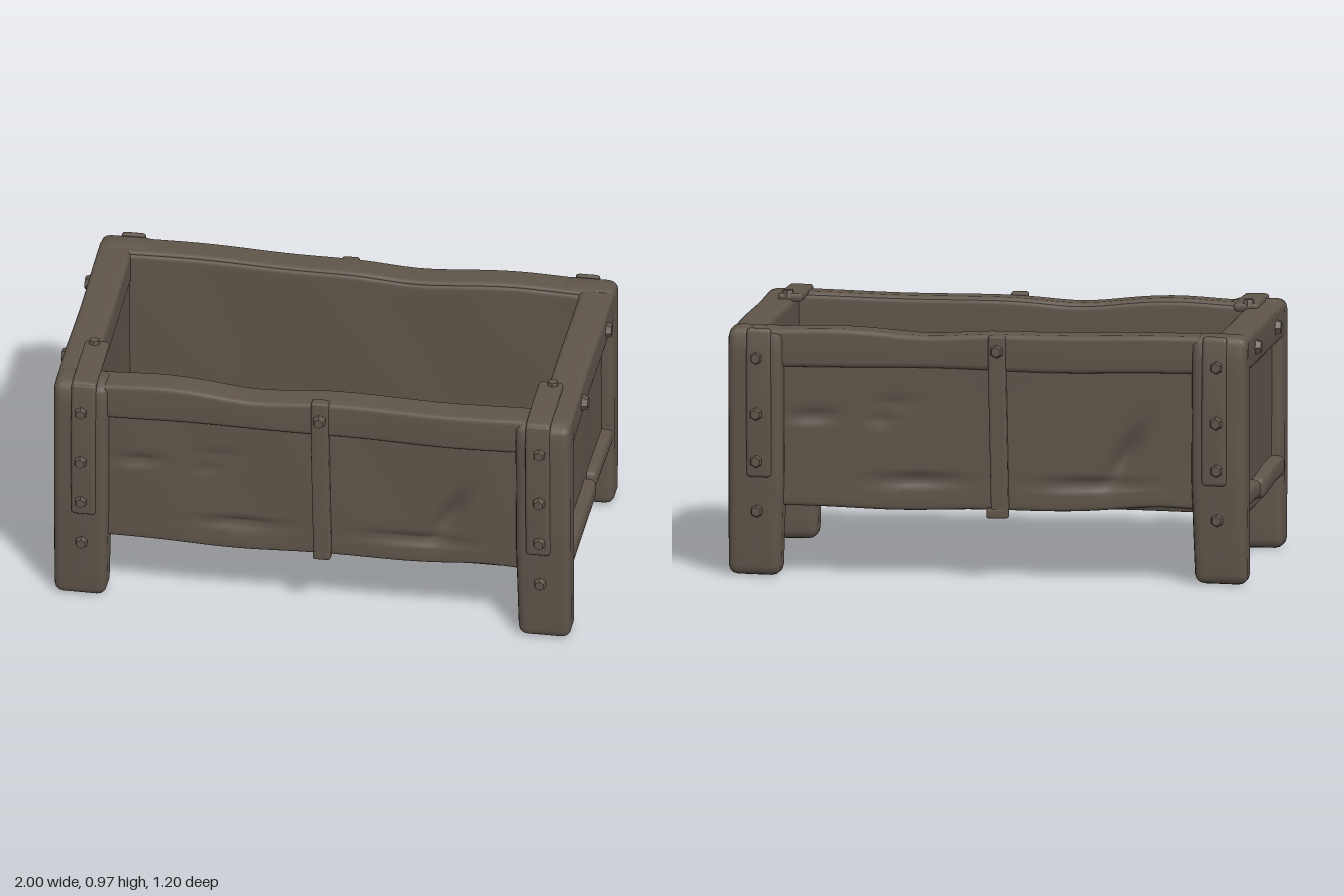
import * as THREE from 'three';
import { mergeVertices } from 'three/addons/utils/BufferGeometryUtils.js';

// Gouges in the long walls: x, y, radius x, radius y, depth, slant
const GOUGES = [
  [0.52, 0.48, 0.04, 0.1, 0.035, 0.5], [0.38, 0.37, 0.17, 0.014, 0.025, 0],
  [-0.27, 0.37, 0.14, 0.014, 0.025, 0], [-0.66, 0.61, 0.08, 0.015, 0.02, 0],
  [-0.4, 0.6, 0.05, 0.015, 0.015, 0], [-0.36, 0.66, 0.07, 0.02, 0.01, 0],
];

// Slow waves that bend the boards like worn timber
function wave(x, y, z, seed) {
  return Math.sin(x * 5.3 + seed) * 0.5 + Math.sin(x * 9.1 + y * 6 - seed * 2) * 0.25
    + Math.sin(z * 8.7 + y * 4 + seed * 1.7) * 0.35;
}

const bump = (x, centre, width) => Math.exp(-(((x - centre) / width) ** 2));

// Rounds the outer top corner (seen from the end) to radius r
function roundTop(p, s, zMax, yMax, r) {
  const u = p.z * s - (zMax - r), v = p.y - (yMax - r);
  if (u <= 0 || v <= 0) return;
  const k = Math.max(u, v) / Math.hypot(u, v);
  p.z = s * (zMax - r + u * k);
  p.y = yMax - r + v * k;
}

// Rounded, finely divided beam between two corners; bend(p) may reshape it
function beam([x0, y0, z0], [x1, y1, z1], { r = 0.015, amp = 0.006, seed = 1, step = 0.05, bend } = {}) {
  const size = [x1 - x0, y1 - y0, z1 - z0];
  const mid = [(x0 + x1) / 2, (y0 + y1) / 2, (z0 + z1) / 2];
  const segs = size.map((s) => Math.max(6, Math.round(s / step)));
  const geo = new THREE.BoxGeometry(...size, ...segs);
  geo.deleteAttribute('uv');
  geo.deleteAttribute('normal');
  const g = mergeVertices(geo, 1e-5);
  const pos = g.attributes.position;
  const rad = Math.min(r, ...size.map((s) => s * 0.4));
  const p = new THREE.Vector3(), inner = new THREE.Vector3();
  for (let i = 0; i < pos.count; i++) {
    p.fromBufferAttribute(pos, i);
    for (let a = 0; a < 3; a++) {
      // Crowd the outer two rows of the grid into the rounded edge
      const h = size[a] / 2, n = segs[a];
      const k = Math.round((p.getComponent(a) / size[a] + 0.5) * n);
      const d = Math.min(k, n - k);
      const c = d === 0 ? h : d === 1 ? h - rad * 0.45 : h - rad - (d - 2) * (2 * (h - rad)) / (n - 4);
      p.setComponent(a, k * 2 < n ? -c : c);
      inner.setComponent(a, THREE.MathUtils.clamp(p.getComponent(a), rad - h, h - rad));
    }
    p.sub(inner);
    if (p.length() > rad) p.setLength(rad);
    p.add(inner);
    p.x += mid[0]; p.y += mid[1]; p.z += mid[2];
    const { x, y, z } = p;
    p.x += amp * 0.6 * wave(z, y, x, seed + 1);
    p.y += amp * wave(x, 0, z, seed + 2);
    p.z += amp * wave(x, y, 0, seed + 3);
    if (bend) bend(p);
    pos.setXYZ(i, p.x, p.y, p.z);
  }
  g.computeVertexNormals();
  return g;
}

export function createModel() {
  const model = new THREE.Group();
  model.name = 'woodenTrough';
  const wood = new THREE.MeshStandardMaterial({ color: 0x5f554a });
  wood.name = 'weathered wood';

  const add = (name, geometry) => {
    const mesh = new THREE.Mesh(geometry, wood);
    mesh.name = name;
    model.add(mesh);
    return mesh;
  };

  // Faceted bolt head facing along a direction
  const boltGeo = new THREE.CylinderGeometry(0.022, 0.032, 0.03, 6).toNonIndexed();
  boltGeo.computeVertexNormals();
  const up = new THREE.Vector3(0, 1, 0);
  const bolt = (x, y, z, dx, dy, dz, s = 0.85) => {
    const m = add('bolt', boltGeo);
    m.position.set(x, y, z);
    m.quaternion.setFromUnitVectors(up, new THREE.Vector3(dx, dy, dz));
    m.scale.setScalar(s);
  };

  // Floor
  add('floor', beam([-0.9, 0.27, -0.49], [0.9, 0.33, 0.49], { amp: 0.004 }));

  for (const s of [1, -1]) {
    const z = (a, b) => (s > 0 ? [a, b] : [-b, -a]);
    const seed = s > 0 ? 1.2 : 4.1;

    // Shared sag of the wall top, a little off centre
    const sag = (p) => {
      if (p.y > 0.86) p.y -= 0.02 * bump(p.x * s, -0.22, 0.18) - 0.006 * bump(p.x * s, -0.6, 0.15);
    };

    // Long wall board with gouges outside and a wavy lower edge
    const [w0, w1] = z(0.405, 0.512);
    add('longWall', beam([-0.9, 0.27, w0], [0.9, 0.925, w1], {
      seed, amp: 0.006, step: 0.02, bend: (p) => {
        sag(p);
        if (p.y < 0.33) p.y += 0.017 * bump(p.x * s, 0.65, 0.2) - 0.014 * bump(p.x * s, -0.3, 0.25);
        if (p.z * s < 0.47) return;
        for (const [gx, gy, rx, ry, depth, slant] of GOUGES) {
          const v = p.y - gy, u = p.x * s - gx - v * slant;
          p.z -= s * depth * bump(u, 0, rx) * bump(v, 0, ry);
        }
      },
    }));

    // Rim beam
    const [r0, r1] = z(0.415, 0.53);
    add('longRim', beam([-0.9, 0.795, r0], [0.9, 0.937, r1], { seed, amp: 0.007, r: 0.02, bend: sag }));

    // Iron band down the middle of the wall, hooked under its lower edge
    const bx = s > 0 ? 0.03 : -0.035;
    const foot = s > 0 ? 0.262 : 0.24;
    const [b0, b1] = z(0.5, 0.543);
    const [f0, f1] = z(0.46, 0.543);
    add('middleBand', beam([bx - 0.033, foot, b0], [bx + 0.033, s > 0 ? 0.945 : 0.93, b1], {
      seed, r: 0.01, amp: 0.004, bend: (p) => { p.x += s * 0.02 * Math.max(0, 0.8 - p.y); },
    }));
    add('middleBandFoot', beam([bx - 0.025, foot - 0.002, f0], [bx + 0.04, foot + 0.035, f1], { amp: 0.002, r: 0.008 }));
    bolt(bx, 0.87, s * 0.55, 0, 0, s);

    for (const e of [1, -1]) {
      const x = (a, b) => (e > 0 ? [a, b] : [-b, -a]);
      const k = seed + e;

      // Corner leg, narrowing towards the foot, with a rounded shoulder
      const [lx0, lx1] = x(0.772, 0.981);
      const [lz0, lz1] = z(0.418, 0.557);
      add('leg', beam([lx0, 0.005, lz0], [lx1, 0.943, lz1], {
        seed: k, amp: 0.004, r: 0.035,
        bend: (p) => {
          roundTop(p, s, 0.557, 0.945, 0.06);
          const t = Math.max(0, 0.4 - p.y);
          if (p.z * s > 0.48) p.z -= s * t * 0.04;
          if (p.x * e < 0.87) p.x += e * t * 0.03;
        },
      }));

      // Strap down the outside of the leg, bulging at mid height
      const [sx0, sx1] = x(0.815, 0.908);
      const [sz0, sz1] = z(0.53, 0.57);
      const top = s > 0 ? 0.955 : 0.945;
      add('legStrap', beam([sx0, 0.38, sz0], [sx1, top, sz1], {
        seed: k, amp: 0.004, r: 0.014, bend: (p) => {
          roundTop(p, s, 0.57, top, 0.045);
          p.z += s * 0.008 * bump(p.y, 0.65, 0.15);
        },
      }));
      bolt(e * 0.87, 0.83, s * 0.575, 0, 0, s);
      bolt(e * 0.87, 0.62, s * 0.585, 0, 0, s);
      bolt(e * 0.87, 0.44, s * 0.576, 0, 0, s);
      bolt(e * 0.87, 0.25, s * 0.557, 0, 0, s);

      // Front straps run on over the top of the leg
      if (s > 0) {
        add('topStrap', beam([sx0, 0.925, 0.25], [sx1, 0.957, 0.56], {
          seed: k, amp: 0.003, r: 0.012, bend: (p) => roundTop(p, s, 0.57, 0.957, 0.045),
        }));
        bolt(e * 0.87, 0.957, 0.27, 0, 1, 0);
      }

      // Upright edging on the end panel and the rim bolts
      const [ex0, ex1] = x(0.88, 0.972);
      const [ez0, ez1] = z(0.42, 0.515);
      add('endStile', beam([ex0, 0.35, ez0], [ex1, 0.83, ez1], { seed: k }));
      bolt(e * 0.983, 0.87, s > 0 ? 0.24 : -0.28, e, 0, 0, 1.1);
    }
  }

  // Short ends: panel, rim, split lower rail and crossbar between the legs
  for (const e of [1, -1]) {
    const x = (a, b) => (e > 0 ? [a, b] : [-b, -a]);
    const part = (name, [a, b], y0, y1, z0, z1, opts) =>
      add(name, beam([a, y0, z0], [b, y1, z1], { seed: 2 + e, ...opts }));
    part('endPanel', x(0.852, 0.935), 0.27, 0.88, -0.46, 0.46, { amp: 0.005 });
    part('endRim', x(0.848, 0.978), 0.8, 0.94, -0.5, 0.5, { amp: 0.005, r: 0.025 });
    part('lowerRail', x(0.88, 0.982), 0.28, 0.362, -0.06, 0.46, {
      r: 0.025, amp: 0.008, bend: (p) => { p.y -= 0.012 * bump(p.z, 0, 0.12); },
    });
    part('lowerRail', x(0.88, 0.975), 0.28, 0.352, -0.46, -0.085, { r: 0.025, amp: 0.008 });
    part('crossbar', x(0.82, 0.92), 0.208, 0.285, -0.46, 0.46, { amp: 0.002 });
  }
  return model;
}
